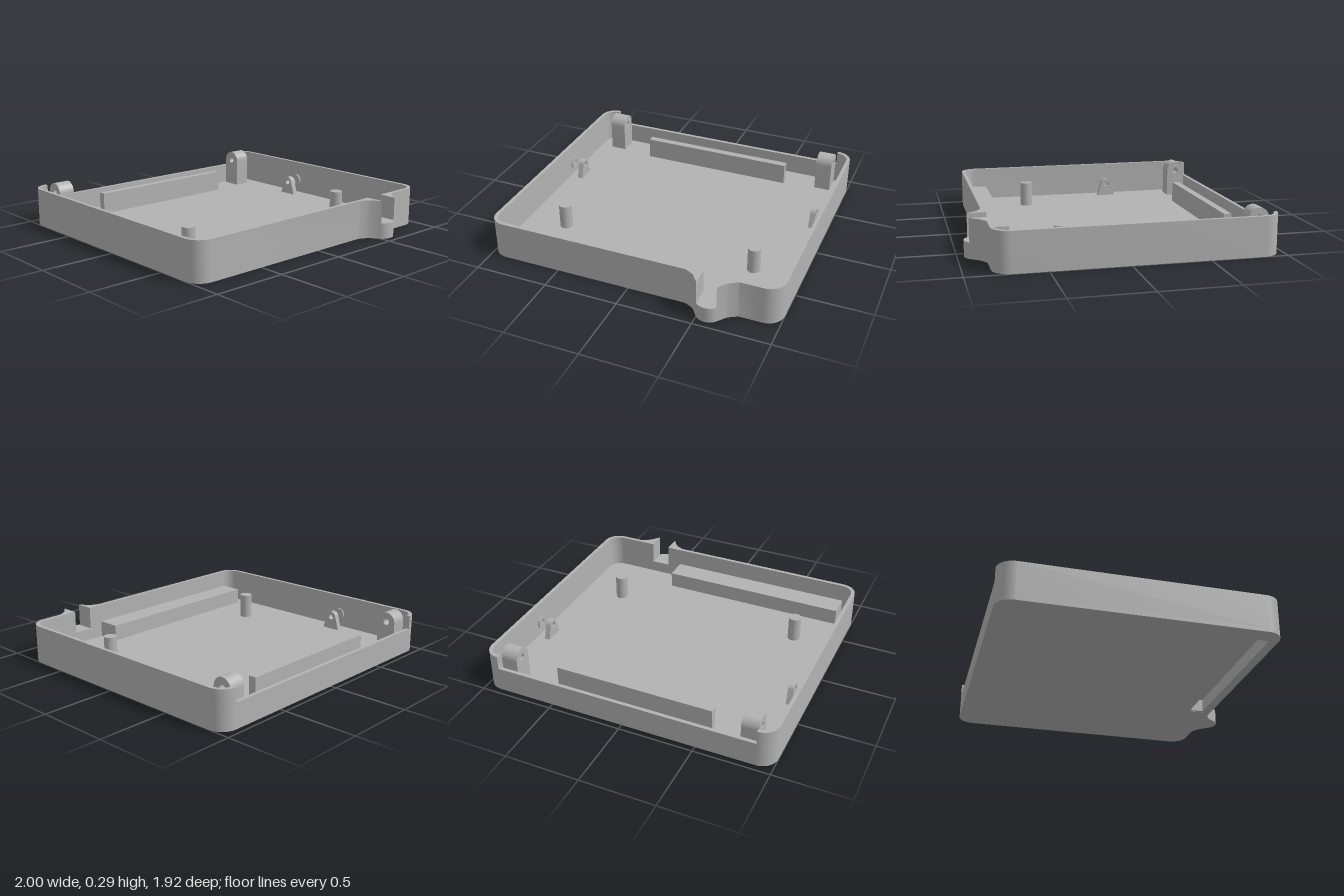
import * as THREE from 'three';
import { toCreasedNormals } from 'three/addons/utils/BufferGeometryUtils.js';

const FLOOR = 0.025, RIM = 0.258, SILL = 0.105, BACK = 0.165;
const T = 0.025, R = 0.11, ZF = 0.83, ZB = -0.96;

export function createModel() {
  const group = new THREE.Group();
  const grey = new THREE.MeshStandardMaterial({ color: 0xb2b2b2 });
  grey.name = 'grey plastic';

  const add = (name, geo) => {
    const mesh = new THREE.Mesh(geo, grey);
    mesh.name = name;
    group.add(mesh);
    return mesh;
  };
  const box = (name, x0, x1, y0, y1, z0, z1) =>
    add(name, new THREE.BoxGeometry(x1 - x0, y1 - y0, z1 - z0)
      .translate((x0 + x1) / 2, (y0 + y1) / 2, (z0 + z1) / 2));
  // Extrude a plan drawn in (x, z) from y0 up to y1
  const slab = (name, shape, y0, y1) => {
    const g = new THREE.ExtrudeGeometry(shape, { depth: y1 - y0, bevelEnabled: false, curveSegments: 12 });
    g.rotateX(Math.PI / 2).translate(0, y1, 0);
    return add(name, toCreasedNormals(g, 0.5));
  };
  // Extrude a side profile, centred on (z, y), across a thickness in x
  const sidePlate = (name, shape, width, x, y, z) => {
    const g = new THREE.ExtrudeGeometry(shape, { depth: width, bevelEnabled: false, curveSegments: 16 });
    g.translate(0, 0, -width / 2).rotateY(Math.PI / 2).translate(x, y, z);
    return add(name, toCreasedNormals(g, 0.5));
  };
  const circle = (x, y, r) => new THREE.Path().absarc(x, y, r, 0, Math.PI * 2, true);
  // Quarter round from the current point to (ex, ez) around corner (cx, cz)
  const corner = (p, cx, cz, ex, ez) => {
    const k = 0.5523, a = p.currentPoint;
    p.bezierCurveTo(a.x + (cx - a.x) * k, a.y + (cz - a.y) * k,
      ex + (cx - ex) * k, ez + (cz - ez) * k, ex, ez);
  };
  // Outside edge from the front to the back on side s
  const outerSide = (p, s) => {
    p.lineTo(s * (1 - R), ZF);
    corner(p, s, ZF, s, ZF - R);
    p.lineTo(s, ZB + R);
    corner(p, s, ZB, s * (1 - R), ZB);
  };
  // Nose flanks, from the notch outward
  const noseFlank = (p, s) => {
    if (s > 0) {
      p.lineTo(0.675, 0.87);
      p.quadraticCurveTo(0.7, 0.85, 0.74, ZF);
    } else {
      p.lineTo(0.455, 0.865);
      p.quadraticCurveTo(0.435, 0.848, 0.39, ZF);
    }
  };
  const noseTip = (p) => p.bezierCurveTo(0.53, 0.966, 0.60, 0.966, 0.63, 0.927);

  // Floor: bottom layer has foot recesses, both layers have the pocket opening
  const floorPlan = () => {
    const p = new THREE.Shape();
    p.moveTo(0.63, 0.927);
    noseFlank(p, 1);
    outerSide(p, 1);
    p.lineTo(-(1 - R), ZB);
    corner(p, -1, ZB, -1, ZB + R);
    p.lineTo(-1, ZF - R);
    corner(p, -1, ZF, -(1 - R), ZF);
    p.lineTo(0.39, ZF);
    p.quadraticCurveTo(0.435, 0.848, 0.455, 0.865);
    p.lineTo(0.5, 0.927);
    noseTip(p);
    p.holes.push(new THREE.Path([[-0.88, 0.67], [-0.88, 0.79], [0.38, 0.79], [0.38, 0.67]]
      .map(([x, z]) => new THREE.Vector2(x, z))));
    return p;
  };
  const underside = floorPlan();
  for (const [x, z] of [[0.83, -0.85], [-0.83, -0.85], [0.83, 0.71]])
    underside.holes.push(circle(x, z, 0.065));
  slab('underside', underside, 0, 0.012);
  slab('floor', floorPlan(), 0.012, FLOOR);

  // Side walls with their half of the nose, ending at the notch and the low back
  for (const s of [1, -1]) {
    const notch = s > 0 ? 0.63 : 0.5;
    const p = new THREE.Shape();
    p.moveTo(notch, 0.927);
    noseFlank(p, s);
    outerSide(p, s);
    p.lineTo(s * (1 - R), ZB + T);
    corner(p, s * (1 - T), ZB + T, s * (1 - T), ZB + R);
    p.lineTo(s * (1 - T), ZF - R);
    corner(p, s * (1 - T), ZF - T, s * (1 - R), ZF - T);
    p.lineTo(notch, ZF - T);
    p.closePath();
    slab(s > 0 ? 'leftWall' : 'rightWall', p, FLOOR, RIM);
  }
  box('lowBackWall', R - 1, 1 - R, FLOOR, BACK, ZB, ZB + T);

  // Sill across the notch at the nose tip
  const sill = new THREE.Shape();
  sill.moveTo(0.5, ZF - T);
  sill.lineTo(0.5, 0.927);
  noseTip(sill);
  sill.lineTo(0.63, ZF - T);
  sill.closePath();
  slab('notchSill', sill, FLOOR, SILL);

  // Raised pocket along the front, open underneath
  const pocketTop = 0.135;
  box('pocketRoof', -0.9, 0.4, pocketTop - 0.02, pocketTop, 0.65, 0.805);
  box('pocketBack', -0.9, 0.4, FLOOR, pocketTop - 0.02, 0.65, 0.67);
  box('pocketFront', -0.9, 0.4, FLOOR, pocketTop - 0.02, 0.79, 0.805);
  box('pocketEndRight', -0.9, -0.88, FLOOR, pocketTop - 0.02, 0.67, 0.79);
  box('pocketEndLeft', 0.38, 0.4, FLOOR, pocketTop - 0.02, 0.67, 0.79);

  // Rib near the back
  box('backRib', -0.545, 0.545, FLOOR, 0.172, -0.8, -0.75);

  // Hinge column with a round top and a pin hole
  const hr = 0.066, hingeY = 0.22;
  const hinge = new THREE.Shape();
  hinge.moveTo(-hr, FLOOR - hingeY);
  hinge.lineTo(hr, FLOOR - hingeY);
  hinge.lineTo(hr, 0);
  hinge.absarc(0, 0, hr, 0, Math.PI, false);
  hinge.closePath();
  hinge.holes.push(circle(0, 0, 0.022));

  // Small tapered lug with a pin hole
  const lugY = 0.115;
  const lug = new THREE.Shape();
  lug.moveTo(-0.065, FLOOR - lugY);
  lug.lineTo(0.065, FLOOR - lugY);
  lug.lineTo(0.036, 0.014);
  lug.absarc(0, 0, 0.039, 0.37, Math.PI - 0.37, false);
  lug.closePath();
  lug.holes.push(circle(0, 0, 0.02));

  // Ring boss on the wall facing the lug
  const boss = new THREE.Shape().absarc(0, 0, 0.046, 0, Math.PI * 2, false);
  boss.holes.push(circle(0, 0, 0.02));

  for (const s of [1, -1]) {
    sidePlate('hinge', hinge, 0.112, s * 0.83, hingeY, -0.847);
    sidePlate('lug', lug, 0.038, s * 0.895, lugY, -0.305);
    sidePlate('wallBoss', boss, 0.012, s * 0.97, lugY, -0.305);
    add('post', new THREE.CylinderGeometry(0.043, 0.043, 0.17, 32)
      .translate(s * 0.682, FLOOR + 0.085, 0.368));
  }
  return group;
}
